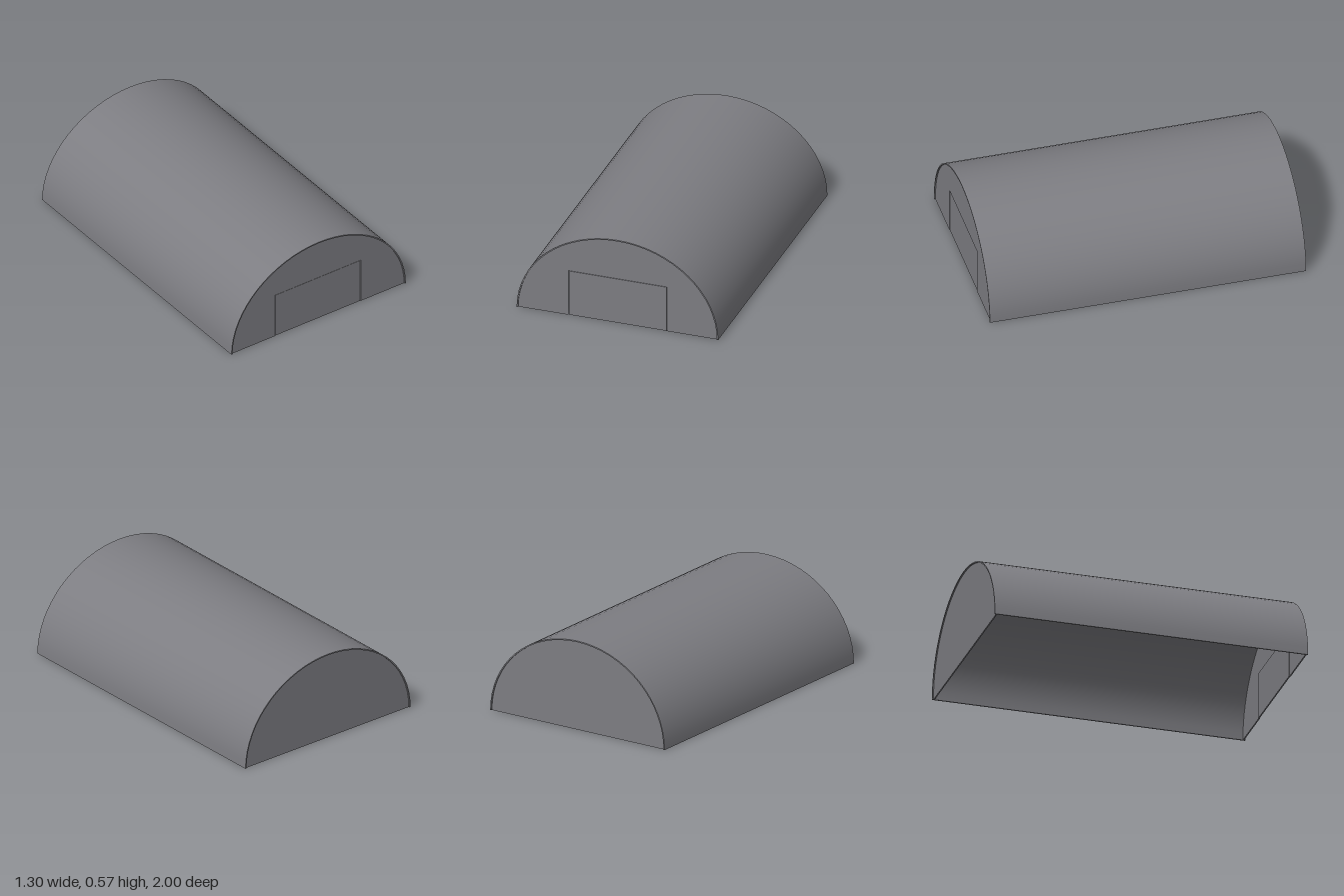
import * as THREE from 'three';
import { toCreasedNormals } from 'three/addons/utils/BufferGeometryUtils.js';

const HALF_WIDTH = 0.652, HEIGHT = 0.575, LENGTH = 2;
const SKIN = 0.008;      // sheet thickness
const INSET = 0.008;     // end walls sit just inside the shell ends
const DOOR_HALF = 0.32, DOOR_TOP = 0.305, GAP = 0.004;

// Points of a half-ellipse from +x over the top to -x
function arch(rx, ry, steps = 32) {
  return Array.from({ length: steps + 1 }, (_, i) => {
    const a = (Math.PI * i) / steps;
    return new THREE.Vector2(rx * Math.cos(a), ry * Math.sin(a));
  });
}

function extrude(shape, depth, z) {
  const geometry = new THREE.ExtrudeGeometry(shape, { depth, bevelEnabled: false });
  geometry.translate(0, 0, z);
  return toCreasedNormals(geometry, 0.5);
}

export function createModel() {
  const model = new THREE.Group();
  model.name = 'archedHangar';
  const metal = new THREE.MeshStandardMaterial({ color: 0x7d7d82 });
  metal.name = 'grey metal';

  const add = (name, geometry) => {
    const mesh = new THREE.Mesh(geometry, metal);
    mesh.name = name;
    model.add(mesh);
  };

  // Vaulted roof, open underneath
  const outer = arch(HALF_WIDTH, HEIGHT);
  const inner = arch(HALF_WIDTH - SKIN, HEIGHT - SKIN);
  const ring = new THREE.Shape([...outer, ...inner.slice().reverse()]);
  add('vaultedRoof', extrude(ring, LENGTH, -LENGTH / 2));

  // Solid back wall
  add('backWall', extrude(new THREE.Shape(inner), SKIN, -LENGTH / 2 + INSET));

  // Front wall with the doorway cut up from the ground
  const frontZ = LENGTH / 2 - INSET - SKIN;
  const doorway = [[-DOOR_HALF, 0], [-DOOR_HALF, DOOR_TOP], [DOOR_HALF, DOOR_TOP], [DOOR_HALF, 0]]
    .map(([x, y]) => new THREE.Vector2(x, y));
  add('frontWall', extrude(new THREE.Shape([...inner, ...doorway]), SKIN, frontZ));

  // Door panel, separated from the wall by a narrow seam
  const doorHeight = DOOR_TOP - GAP;
  const door = new THREE.BoxGeometry(2 * (DOOR_HALF - GAP), doorHeight, SKIN);
  door.translate(0, doorHeight / 2, frontZ + SKIN / 2 - 0.003);
  add('door', door);

  return model;
}
